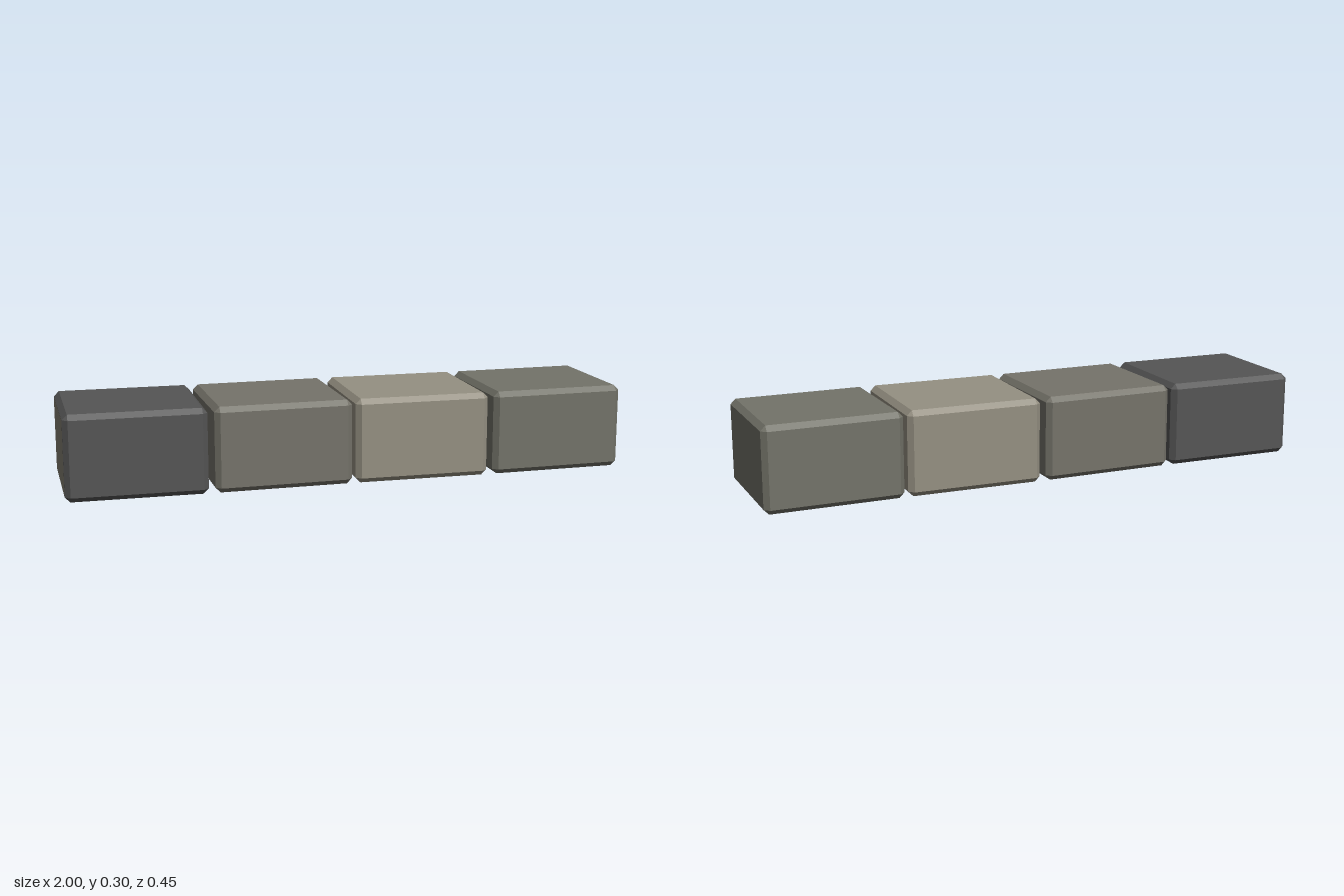
import * as THREE from 'three';
import { ConvexGeometry } from 'three/addons/geometries/ConvexGeometry.js';

const W = 0.485, H = 0.3, D = 0.444, C = 0.018;

// Box with every edge cut at 45 degrees: three points per corner, wrapped in a hull.
function chamferedBox(w, h, d, c) {
  const points = [];
  for (const sx of [-1, 1]) for (const sy of [-1, 1]) for (const sz of [-1, 1]) {
    const x = w / 2, y = h / 2, z = d / 2;
    for (const [px, py, pz] of [[x, y - c, z - c], [x - c, y, z - c], [x - c, y - c, z]]) {
      points.push(new THREE.Vector3(sx * px, sy * py, sz * pz));
    }
  }
  return new ConvexGeometry(points);
}

function paint(color) {
  return new THREE.MeshStandardMaterial({ color, flatShading: true });
}

export function createModel() {
  const model = new THREE.Group();
  model.name = 'stoneRow';
  const geometry = chamferedBox(W, H, D, C);

  // Four stones in a row, each turned slightly the other way from its neighbour.
  const stones = [
    { name: 'darkStone', x: -0.7545, yaw: -0.012, color: 0x555555 },
    { name: 'innerRightStone', x: -0.2515, yaw: 0.012, color: 0x75736a },
    { name: 'paleStone', x: 0.2515, yaw: -0.012, color: 0x959082 },
    { name: 'outerLeftStone', x: 0.7545, yaw: 0.01, color: 0x737369 },
  ];
  for (const { name, x, yaw, color } of stones) {
    const stone = new THREE.Mesh(geometry, paint(color));
    stone.name = name;
    stone.position.set(x, H / 2, 0);
    stone.rotation.y = yaw;
    model.add(stone);
  }

  // Lighter outer end of the dark stone
  const endFace = new THREE.Mesh(new THREE.PlaneGeometry(D - 2 * C, H - 2 * C), paint(0x858173));
  endFace.name = 'paleEndFace';
  endFace.rotation.y = -Math.PI / 2;
  endFace.position.x = -W / 2 - 0.0005;
  model.children[0].add(endFace);

  return model;
}
